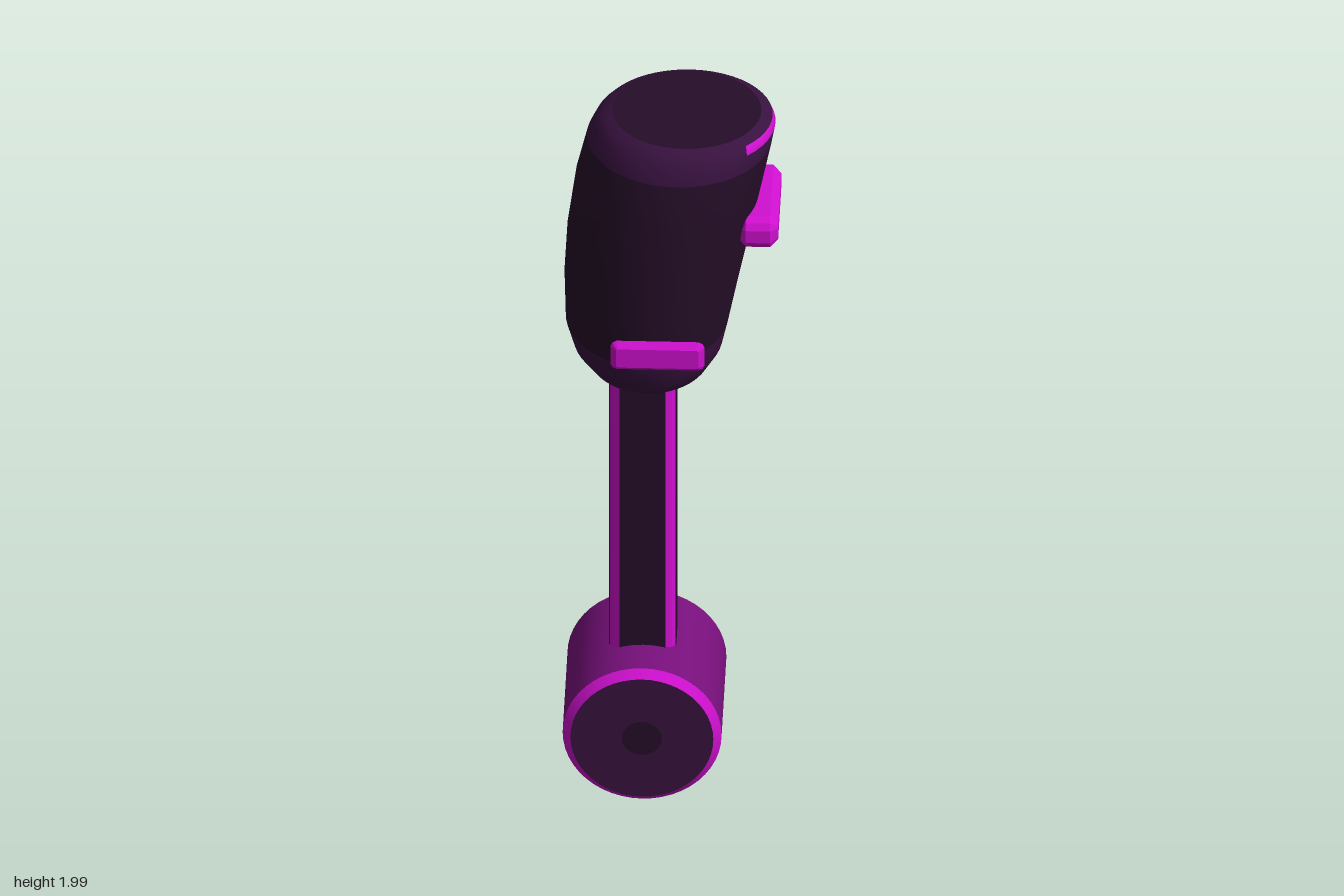
import * as THREE from 'three';

const material = (name, color) => {
  const m = new THREE.MeshStandardMaterial({ color });
  m.name = name;
  return m;
};

export function createModel() {
  const dark = material('dark aubergine', 0x260e29);
  const plum = material('plum', 0x391240);
  const purple = material('purple', 0x78107c);
  const magenta = material('magenta', 0xd010d0);
  const model = new THREE.Group();
  model.name = 'shiftLever';

  const add = (parent, name, geometry, mat, x = 0, y = 0, z = 0) => {
    const mesh = new THREE.Mesh(geometry, mat);
    mesh.name = name;
    mesh.position.set(x, y, z);
    parent.add(mesh);
    return mesh;
  };

  // Rectangle with cut corners, centred on the origin
  const cutRect = (w, h, c) => {
    const s = new THREE.Shape();
    const x = w / 2, y = h / 2;
    s.moveTo(-x + c, -y);
    s.lineTo(x - c, -y);
    s.quadraticCurveTo(x - c * 0.2, -y + c * 0.2, x, -y + c);
    s.lineTo(x, y - c);
    s.quadraticCurveTo(x - c * 0.2, y - c * 0.2, x - c, y);
    s.lineTo(-x + c, y);
    s.quadraticCurveTo(-x + c * 0.2, y - c * 0.2, -x, y - c);
    s.lineTo(-x, -y + c);
    s.quadraticCurveTo(-x + c * 0.2, -y + c * 0.2, -x + c, -y);
    return s;
  };

  // Bar with chamfers all round, depth along z
  const chamferBar = (w, h, d, c, corner) => {
    const g = new THREE.ExtrudeGeometry(cutRect(w - 2 * c, h - 2 * c, corner), {
      depth: d - 2 * c, bevelEnabled: true, bevelSize: c, bevelThickness: c,
      bevelSegments: 1, curveSegments: 2,
    });
    return g.translate(0, 0, -(d - 2 * c) / 2);
  };

  // Pivot drum with bright rims, end discs and hubs
  const drum = new THREE.Group();
  drum.name = 'pivotDrum';
  drum.position.set(-0.07, 0.205, -0.043);
  drum.rotation.x = Math.PI / 2;
  model.add(drum);
  add(drum, 'drumSide', new THREE.CylinderGeometry(0.198, 0.198, 0.34, 48, 1, true), purple);
  for (const s of [1, -1]) {
    const end = new THREE.Group();
    end.name = s > 0 ? 'frontEnd' : 'backEnd';
    if (s < 0) end.rotation.x = Math.PI;
    drum.add(end);
    add(end, 'rim', new THREE.CylinderGeometry(0.178, 0.198, 0.02, 48, 1, true), magenta, 0, 0.18, 0);
    add(end, 'disc', new THREE.CircleGeometry(0.178, 48).rotateX(-Math.PI / 2), plum, 0, 0.19, 0);
    add(end, 'hub', new THREE.CircleGeometry(0.05, 24).rotateX(-Math.PI / 2), dark, 0, 0.192, 0);
  }

  // Stem: bright softened corners, dark face panels
  const stem = new THREE.Group();
  stem.name = 'stem';
  stem.position.set(-0.073, 0.8, -0.04);
  model.add(stem);
  const core = new THREE.ExtrudeGeometry(cutRect(0.164, 0.126, 0.026), {
    depth: 1, bevelEnabled: false, curveSegments: 2,
  });
  core.translate(0, 0, -0.5).rotateX(-Math.PI / 2);
  add(stem, 'stemCorners', core, magenta);
  add(stem, 'stemFrontBack', new THREE.BoxGeometry(0.114, 0.99, 0.129), dark);
  add(stem, 'stemSides', new THREE.BoxGeometry(0.167, 0.99, 0.074), dark);

  // Knob: leaning oval sections [y, left x, right x, back z, front z]
  const sections = [
    [1.23, -0.165, 0.05, -0.165, 0.1],
    [1.248, -0.21, 0.095, -0.212, 0.14],
    [1.30, -0.247, 0.125, -0.25, 0.175],
    [1.37, -0.266, 0.14, -0.269, 0.197],
    [1.50, -0.269, 0.165, -0.278, 0.21],
    [1.65, -0.261, 0.195, -0.276, 0.217],
    [1.80, -0.241, 0.225, -0.268, 0.216],
    [1.92, -0.213, 0.249, -0.254, 0.202],
    [1.965, -0.193, 0.257, -0.235, 0.184],
    [1.987, -0.175, 0.25, -0.215, 0.168],
    [2.0, -0.15, 0.222, -0.193, 0.148],
  ];
  const N = 48, positions = [], faces = [[], [], []];
  const pushRing = ([y, l, r, b, f]) => {
    const first = positions.length / 3;
    for (let j = 0; j < N; j++) {
      const t = (j / N) * Math.PI * 2;
      positions.push((l + r) / 2 + Math.cos(t) * (r - l) / 2, y, (b + f) / 2 + Math.sin(t) * (f - b) / 2);
    }
    return first;
  };
  const rings = sections.map(pushRing);
  for (let i = 0; i < rings.length - 1; i++) {
    for (let j = 0; j < N; j++) {
      const k = (j + 1) % N;
      const a = rings[i] + j, b = rings[i] + k, c = rings[i + 1] + j, d = rings[i + 1] + k;
      // plum end bands, with a bright crescent on the left shoulder
      const crescent = i === 8 && Math.min(j, N - 1 - j) < 6;
      const m = crescent ? 2 : i < 3 || i > 6 ? 1 : 0;
      faces[m].push(a, c, b, b, c, d);
    }
  }
  // flat caps on their own rings
  const bottom = pushRing(sections[0]), top = pushRing(sections[sections.length - 1]);
  for (let j = 1; j < N - 1; j++) {
    faces[0].push(top, top + j + 1, top + j);
    faces[1].push(bottom, bottom + j, bottom + j + 1);
  }
  const knob = new THREE.BufferGeometry();
  knob.setAttribute('position', new THREE.Float32BufferAttribute(positions, 3));
  knob.setIndex(faces.flat());
  let start = 0;
  faces.forEach((list, m) => {
    knob.addGroup(start, list.length, m);
    start += list.length;
  });
  knob.computeVertexNormals();
  add(model, 'knob', knob, [dark, plum, magenta]);

  // Side button and floating front tab
  const button = chamferBar(0.275, 0.09, 0.1, 0.02, 0.012).rotateY(Math.PI / 2);
  add(model, 'sideButton', button, magenta, 0.217, 1.705, -0.033);
  add(model, 'frontTab', chamferBar(0.234, 0.084, 0.032, 0.0145, 0.004), magenta, -0.027, 1.452, 0.265);

  return model;
}
